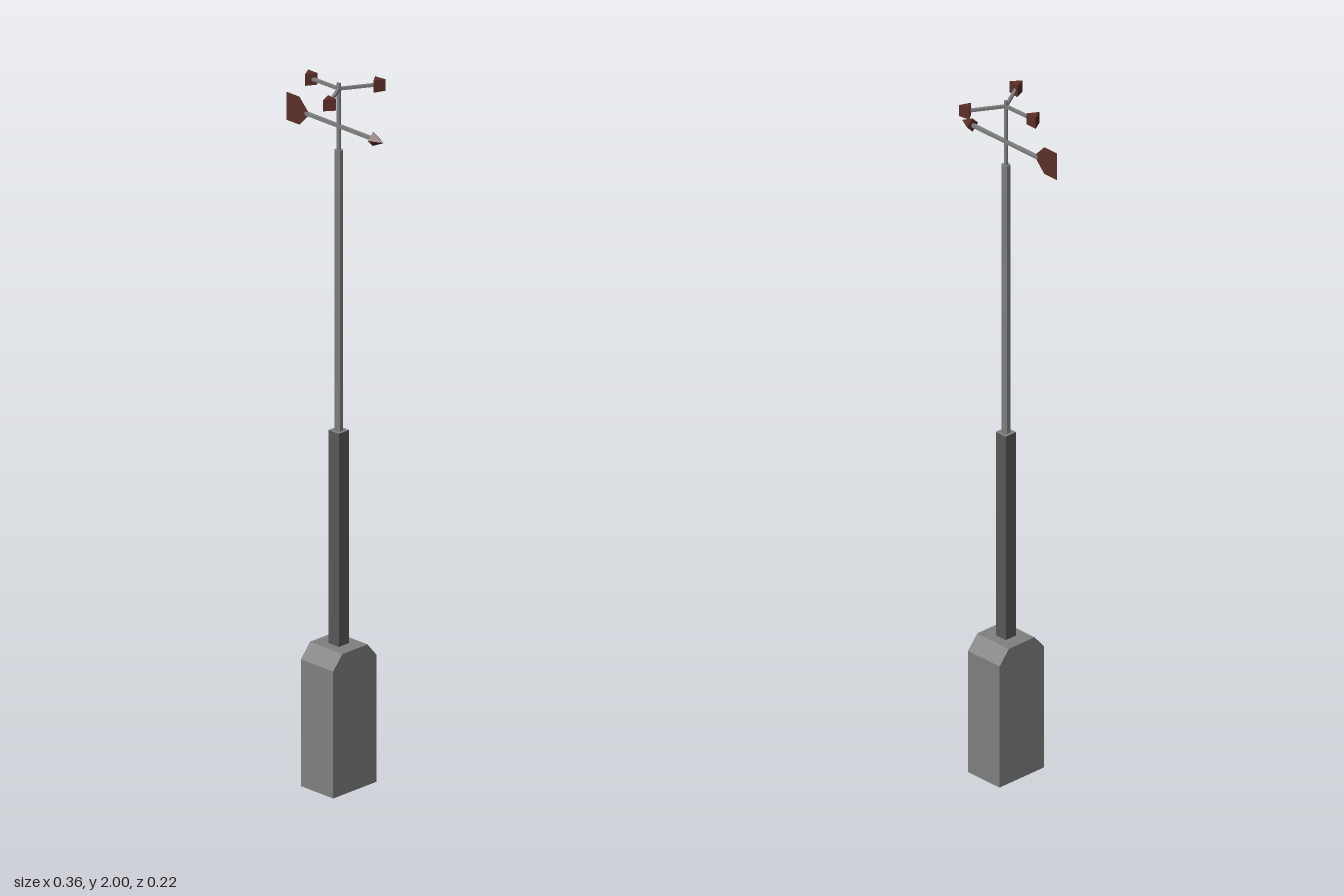
import * as THREE from 'three';

export function createModel() {
  const model = new THREE.Group();
  model.name = 'weatherStation';
  const mat = (name, color, options = {}) => {
    const m = new THREE.MeshStandardMaterial({ color, ...options });
    m.name = name;
    return m;
  };
  const grey = mat('grey metal', 0x808080, { flatShading: true });
  const darkGrey = mat('dark grey metal', 0x585858, { flatShading: true });
  const rust = mat('rust red', 0x5c2e28, { flatShading: true, side: THREE.DoubleSide });

  // everything stands on the mast axis
  const mast = new THREE.Group();
  mast.name = 'mast';
  mast.position.set(0.012, 0, -0.005);
  model.add(mast);
  const add = (name, geometry, material, x = 0, y = 0, z = 0) => {
    const mesh = new THREE.Mesh(geometry, material);
    mesh.name = name;
    mesh.position.set(x, y, z);
    mast.add(mesh);
    return mesh;
  };

  // chamfered base, its profile drawn across the depth and extruded along x
  const profile = new THREE.Shape([
    [-0.081, 0], [0.081, 0], [0.081, 0.362], [0.047, 0.402], [-0.047, 0.402], [-0.081, 0.362],
  ].map(([x, y]) => new THREE.Vector2(x, y)));
  const base = new THREE.ExtrudeGeometry(profile, { depth: 0.12, bevelEnabled: false });
  base.translate(0, 0, -0.06).rotateY(Math.PI / 2);
  add('base', base, grey);

  // stepped pole
  add('lowerPole', new THREE.BoxGeometry(0.038, 0.61, 0.038),
    [darkGrey, darkGrey, grey, grey, darkGrey, darkGrey], 0, 0.705, 0);
  add('upperPole', new THREE.CylinderGeometry(0.012, 0.012, 0.8, 6), grey, 0, 1.41, 0);
  add('spindle', new THREE.CylinderGeometry(0.006, 0.006, 0.19, 6), grey, 0, 1.905, 0);

  // wind vane: rod, arrow head and flat tail
  const vaneY = 1.878;
  add('vaneRod', new THREE.BoxGeometry(0.25, 0.009, 0.009), grey, 0.003, vaneY, 0);
  const head = add('vaneArrowHead', new THREE.ConeGeometry(0.02, 0.04, 4), rust, 0.147, vaneY, 0);
  head.rotation.z = -Math.PI / 2;
  const tail = new THREE.Shape([
    [-0.194, -0.04], [-0.146, -0.04], [-0.115, -0.008],
    [-0.115, 0.008], [-0.146, 0.04], [-0.194, 0.04],
  ].map(([x, y]) => new THREE.Vector2(x, y)));
  add('vaneTail', new THREE.ShapeGeometry(tail), rust, 0, vaneY, 0);

  // anemometer: three arms, each ending in a triangular cup
  const cups = [[-0.105, 0.001, 0], [0.053, -0.093, 0.14], [0.054, 0.09, -0.12]];
  for (const [x, z, yaw] of cups) {
    const arm = add('anemometerArm', new THREE.BoxGeometry(Math.hypot(x, z), 0.008, 0.008),
      grey, x / 2, 1.984, z / 2);
    arm.rotation.y = Math.atan2(-z, x);
    const cup = add('anemometerCup', new THREE.CylinderGeometry(0.02, 0.02, 0.033, 3),
      rust, x, 1.9835, z);
    cup.rotation.y = yaw;
  }
  return model;
}
